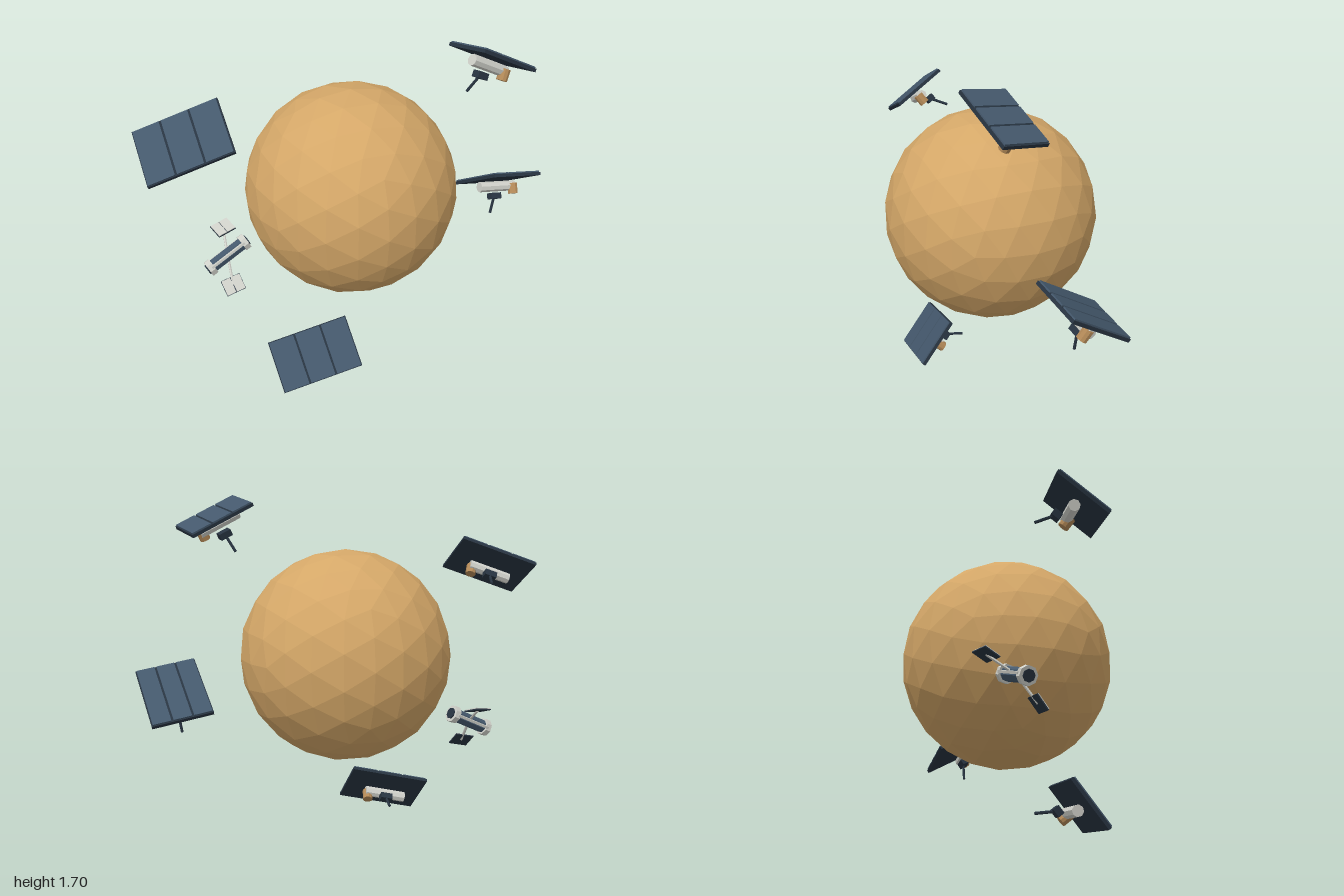
import * as THREE from 'three';

const paint = (name, color) => {
  const m = new THREE.MeshStandardMaterial({ color, flatShading: true });
  m.name = name;
  return m;
};
const V = (a) => new THREE.Vector3(...a);

export function createModel() {
  const model = new THREE.Group();
  const sand = paint('sand', 0xd4a768);
  const cellBlue = paint('cellBlue', 0x44586c);
  const navy = paint('navy', 0x283441);
  const pale = paint('pale', 0xd0d1ca);
  const bronze = paint('bronze', 0xb48a58);

  const add = (parent, name, geo, mat, pos = [0, 0, 0]) => {
    const m = new THREE.Mesh(geo, mat);
    m.name = name;
    m.position.set(...pos);
    parent.add(m);
    return m;
  };
  // Thin bar between two points
  const bar = (parent, name, a, b, r, mat, sides = 6) => {
    const p = V(a), q = V(b), d = q.clone().sub(p);
    const m = add(parent, name, new THREE.CylinderGeometry(r, r, d.length(), sides), mat);
    m.position.copy(p).add(q).multiplyScalar(0.5);
    m.quaternion.setFromUnitVectors(new THREE.Vector3(0, 1, 0), d.normalize());
    return m;
  };
  // Group whose local x follows u and whose local z follows w
  const frame = (name, center, u, w) => {
    const g = new THREE.Group();
    g.name = name;
    const x = V(u).normalize();
    const y = V(w).cross(x).normalize();
    const z = x.clone().cross(y);
    g.quaternion.setFromRotationMatrix(new THREE.Matrix4().makeBasis(x, y, z));
    g.position.set(...center);
    model.add(g);
    return g;
  };

  // Faceted planet
  add(model, 'planet', new THREE.IcosahedronGeometry(0.515, 3), sand, [-0.01, 0.935, 0]);

  // Satellites with one large panel: centre, panel x axis, panel z axis, size
  const satellites = [
    [[-0.803, 1.357, 0.1], [0.375, 0.135, 0.06], [0.015, -0.16, 0.24], 0.40, 0.28],
    [[0.59, 1.605, 0.212], [0.295, -0.15, -0.055], [0.06, 0.04, 0.23], 0.335, 0.235],
    [[0.826, 0.8, -0.05], [0.28, -0.048, -0.02], [0.06, 0.2, 0.315], 0.283, 0.372],
    [[-0.288, 0.155, 0.249], [0.401, 0.092, 0.031], [0.032, -0.2, 0.175], 0.41, 0.262],
  ];
  satellites.forEach(([center, u, w, width, depth], i) => {
    const g = frame('panelSatellite' + (i + 1), center, u, w);
    add(g, 'panelFrame', new THREE.BoxGeometry(width, 0.016, depth), navy);
    for (const k of [-1, 0, 1]) {
      add(g, 'solarCell', new THREE.BoxGeometry(width / 3 - 0.01, 0.008, depth - 0.008), cellBlue,
        [k * width / 3, 0.011, 0]);
    }
    // Hull slung beneath the panel
    bar(g, 'hull', [-0.115, -0.042, 0], [0.1, -0.042, 0], 0.027, pale, 8);
    add(g, 'sensorDrum', new THREE.CylinderGeometry(0.026, 0.026, 0.055, 10), bronze, [0.085, -0.058, 0.012]);
    // Instrument box and its boom
    add(g, 'instrumentBox', new THREE.BoxGeometry(0.062, 0.032, 0.042), navy, [0, -0.09, -0.04]);
    bar(g, 'boom', [0, -0.095, -0.045], [0, -0.175, -0.094], 0.007, navy);
  });

  // Small telescope satellite
  const c = [-0.62, 0.593, -0.123];
  const scope = frame('telescope', c, [0.886, 0.42, -0.19], [0.1, 0.2, 0.9]);
  bar(scope, 'tube', [-0.1, 0, 0], [0.1, 0, 0], 0.033, cellBlue, 8);
  for (const s of [-1, 1]) {
    bar(scope, 'endRing', [s * 0.088, 0, 0], [s * 0.118, 0, 0], 0.043, pale, 8);
    bar(scope, 'endCap', [s * 0.116, 0, 0], [s * 0.124, 0, 0], 0.028, navy, 8);
    add(scope, 'sideRail', new THREE.BoxGeometry(0.2, 0.012, 0.014), pale, [0, 0.012, s * 0.034]);
  }
  // Two small wings on struts, pale above and dark below
  const wings = [
    [[-0.61, 0.675, -0.25], [0.93, 0.14, -0.34], [0.3, -0.3, 0.85]],
    [[-0.62, 0.472, -0.03], [0.97, 0.22, -0.1], [0.2, -0.73, 0.65]],
  ];
  for (const [p, u, w] of wings) {
    const g = frame('wing', p, u, w);
    add(g, 'wingBack', new THREE.BoxGeometry(0.1, 0.006, 0.082), navy);
    for (const s of [-1, 1]) {
      add(g, 'wingFace', new THREE.BoxGeometry(0.046, 0.005, 0.078), pale, [s * 0.025, 0.005, 0]);
    }
    bar(model, 'strut', c, p, 0.007, pale);
  }
  return model;
}
